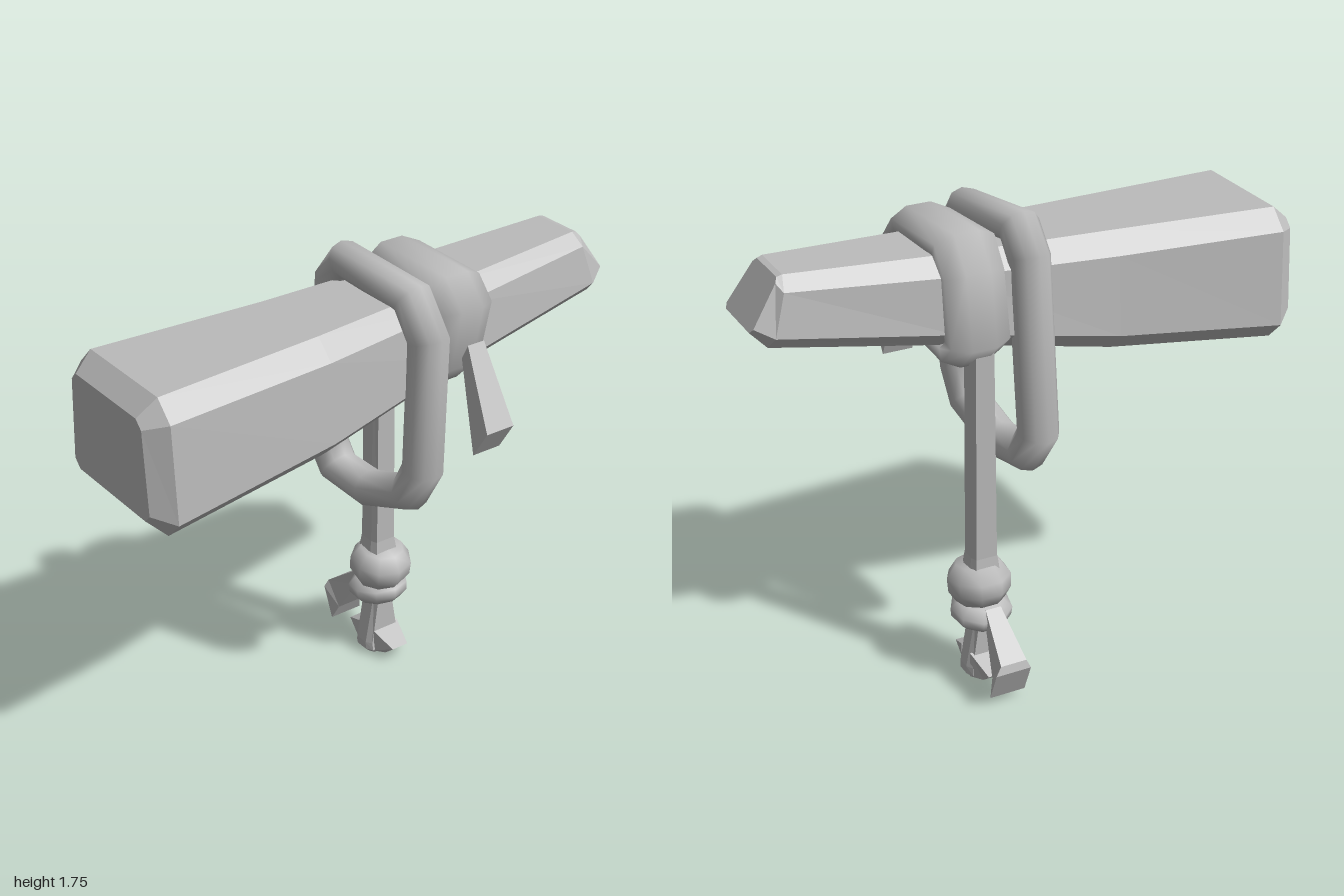
import * as THREE from 'three';

// Skin a list of rings (arrays of [x, y, z]); closed joins the last ring to the first, otherwise ends are capped.
function loft(rings, { closed = false, flat = true } = {}) {
  const n = rings[0].length, m = rings.length, index = [];
  for (let i = 0; i < (closed ? m : m - 1); i++) {
    for (let j = 0; j < n; j++) {
      const a = i * n + j, b = i * n + (j + 1) % n;
      const c = ((i + 1) % m) * n + j, d = ((i + 1) % m) * n + (j + 1) % n;
      index.push(a, b, d, a, d, c);
    }
  }
  if (!closed) {
    const e = (m - 1) * n;
    for (let j = 1; j < n - 1; j++) index.push(0, j + 1, j, e, e + j, e + j + 1);
  }
  // Turn the faces outward if the enclosed volume comes out negative
  const p = rings.flat().map(q => new THREE.Vector3(...q));
  let volume = 0;
  for (let i = 0; i < index.length; i += 3) {
    volume += p[index[i]].dot(p[index[i + 1]].clone().cross(p[index[i + 2]]));
  }
  if (volume < 0) index.reverse();
  let geo = new THREE.BufferGeometry().setFromPoints(p);
  geo.setIndex(index);
  if (flat) geo = geo.toNonIndexed();
  geo.computeVertexNormals();
  return geo;
}

// Bevelled rectangular section; xt and xb are the x of its top and bottom, flare widens the base.
function section(xt, xb, yt, yb, zBack, zFront, c, flare = 0.02) {
  const h = yt - yb;
  const corner = (z, y) => [xb + (xt - xb) * (y - yb) / h, y, z];
  return [
    corner(zBack + c + flare, yt), corner(zFront - c - flare, yt),
    corner(zFront - flare, yt - c), corner(zFront, yb + c),
    corner(zFront - c, yb), corner(zBack + c, yb),
    corner(zBack, yb + c), corner(zBack + flare, yt - c),
  ];
}

// Closed loop of rope along a [z, y] path, with an oval section.
function ropeLoop(path, halfX, halfR, xAt, sides) {
  const n = path.length;
  const pts = path.map(q => new THREE.Vector2(...q));
  return loft(pts.map((p, i) => {
    const t = pts[(i + 1) % n].clone().sub(p).normalize()
      .add(p.clone().sub(pts[(i + n - 1) % n]).normalize()).normalize();
    return Array.from({ length: sides }, (_, k) => {
      const a = (k + 0.5) / sides * Math.PI * 2;
      const r = Math.sin(a) * halfR * 1.1, z = p.x - t.y * r, y = p.y + t.x * r;
      return [xAt(z, y) + Math.cos(a) * halfX * 1.08, y, z];
    });
  }), { closed: true, flat: false });
}

// Four-sided strap end; each station is [x, half width, zA, yA, zB, yB].
function strapEnd(stations) {
  return loft(stations.map(([x, w, zA, yA, zB, yB]) =>
    [[x - w, yA, zA], [x + w, yA, zA], [x + w, yB, zB], [x - w, yB, zB]]));
}

export function createModel() {
  const model = new THREE.Group();
  const grey = new THREE.MeshStandardMaterial({ color: 0xbbbbbb });
  grey.name = 'plain grey';
  const add = (name, geo, parent = model) => {
    const mesh = new THREE.Mesh(geo, grey);
    mesh.name = name;
    parent.add(mesh);
    return mesh;
  };

  // Tapered beam with bevelled edges and a slanted tip
  add('beam', loft([
    section(-1, -1, 1.55, 1.19, -0.22, 0.25, 0.03),
    section(-0.93, -0.93, 1.61, 1.12, -0.28, 0.31, 0.07),
    section(-0.3, -0.3, 1.62, 1.19, -0.23, 0.275, 0.07),
    section(0.3, 0.3, 1.635, 1.315, -0.19, 0.22, 0.06),
    section(0.86, 0.93, 1.66, 1.425, -0.14, 0.17, 0.045),
    section(0.88, 0.99, 1.655, 1.49, -0.11, 0.135, 0.015),
  ]));

  // Loose loop of rope hanging round the beam
  add('looseLoop', ropeLoop([
    [0.2, 1.655], [-0.12, 1.69], [-0.18, 1.6], [-0.24, 0.97], [-0.17, 0.86],
    [0, 0.84], [0.2, 0.91], [0.262, 1.03], [0.278, 1.53],
  ], 0.067, 0.062, z => 0.05 + 0.11 * z, 10));

  // Tight wide wrap beside it
  add('tightWrap', ropeLoop([
    [0.18, 1.645], [-0.11, 1.66], [-0.165, 1.57], [-0.205, 1.35],
    [-0.15, 1.295], [0.14, 1.33], [0.19, 1.385], [0.235, 1.58],
  ], 0.11, 0.055, z => 0.245 + 0.05 * z, 8));

  // Short loose end at the front of the wrap
  add('frontStrapEnd', strapEnd([
    [0.285, 0.035, 0.28, 1.46, 0.25, 1.4],
    [0.28, 0.058, 0.43, 1.19, 0.36, 1.08],
  ]));

  // Hanging strap with bevelled sides
  const strapRing = (y, w, d) => [[-1, 0.5], [-0.8, 1], [0.8, 1], [1, 0.5], [1, -0.5], [0.8, -1], [-0.8, -1], [-1, -0.5]]
    .map(([u, v]) => [0.21 + u * w, y, -0.165 + v * d]);
  add('hangingStrap', loft([strapRing(1.42, 0.042, 0.045), strapRing(0.5, 0.05, 0.047), strapRing(0.4, 0.065, 0.06)]));

  // Knot of two squashed coils
  const knot = new THREE.Group();
  knot.name = 'knot';
  knot.position.set(0.215, 0, -0.155);
  model.add(knot);
  const coil = (name, y, r, h, tilt) => {
    const profile = [[0, -1], [0.75, -0.95], [0.98, -0.4], [1, 0.25], [0.7, 0.9], [0, 1]]
      .map(([u, v]) => new THREE.Vector2(u * r, v * h));
    const mesh = add(name, new THREE.LatheGeometry(profile, 9), knot);
    mesh.position.y = y;
    mesh.rotation.x = tilt;
    return mesh;
  };
  coil('upperCoil', 0.385, 0.117, 0.078, 0.12);
  coil('lowerCoil', 0.275, 0.113, 0.05, -0.15).position.z = -0.015;

  // Straight tail below the knot, flaring to the bottom
  add('lowerTail', loft([
    strapRing(0.26, 0.035, 0.045), strapRing(0.05, 0.075, 0.048),
    strapRing(0.02, 0.075, 0.052), strapRing(0, 0.055, 0.04),
  ]));

  // Small flared points either side of the tail
  for (const s of [1, -1]) {
    const tip = add(s > 0 ? 'frontTailPoint' : 'backTailPoint', strapEnd([
      [0.215, 0.06, -0.165 + s * 0.035, 0.11, -0.165 + s * 0.035, 0.01],
      [0.215, 0.035, -0.165 + s * 0.137, 0.06, -0.165 + s * 0.09, 0.02],
    ]));
    tip.position.y = 0;
  }

  // Loose end sticking out behind the knot
  add('backStrapEnd', strapEnd([
    [0.205, 0.03, -0.25, 0.31, -0.25, 0.24],
    [0.21, 0.05, -0.42, 0.18, -0.35, 0.09],
    [0.215, 0.068, -0.43, 0.15, -0.38, 0.03],
  ]));

  return model;
}
